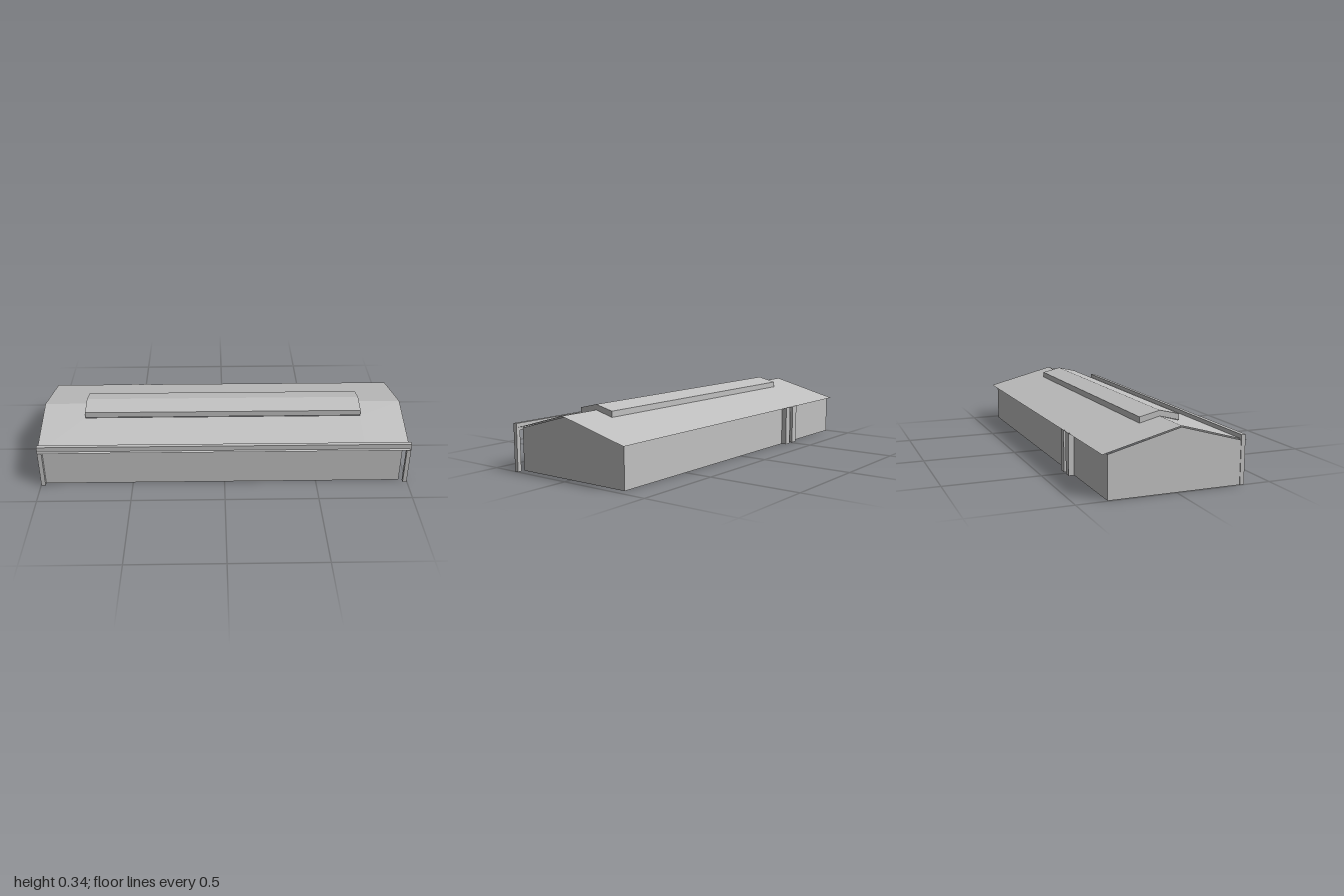
import * as THREE from 'three';

export function createModel() {
  const group = new THREE.Group();
  const grey = new THREE.MeshStandardMaterial({ color: 0xc0c0c0, side: THREE.DoubleSide });
  grey.name = 'light grey';

  const add = (name, geometry) => {
    const mesh = new THREE.Mesh(geometry, grey);
    mesh.name = name;
    group.add(mesh);
    return mesh;
  };

  // box given by its two corners
  const addBox = (name, x0, x1, y0, y1, z0, z1) =>
    add(name, new THREE.BoxGeometry(x1 - x0, y1 - y0, z1 - z0))
      .position.set((x0 + x1) / 2, (y0 + y1) / 2, (z0 + z1) / 2);

  // open surface swept along x: outline points are [z, y], front to back
  const sweep = (outline, xs, skip = () => false) => {
    const pos = [];
    for (let i = 0; i < outline.length - 1; i++) {
      for (let j = 0; j < xs.length - 1; j++) {
        if (skip(i, j)) continue;
        const [[z0, y0], [z1, y1]] = [outline[i], outline[i + 1]];
        const a = [xs[j], y0, z0], b = [xs[j + 1], y0, z0];
        const c = [xs[j + 1], y1, z1], d = [xs[j], y1, z1];
        pos.push(...a, ...b, ...c, ...a, ...c, ...d);
      }
    }
    const g = new THREE.BufferGeometry();
    g.setAttribute('position', new THREE.Float32BufferAttribute(pos, 3));
    g.computeVertexNormals();
    return g;
  };

  // flat end panel in the z-y plane, facing along side (+1 or -1)
  const addEnd = (name, outline, x, side) => {
    const shape = new THREE.Shape(outline.map(([z, y]) => new THREE.Vector2(-side * z, y)));
    const mesh = add(name, new THREE.ShapeGeometry(shape));
    mesh.rotation.y = side * Math.PI / 2;
    mesh.position.x = x;
  };

  // hall walls, open underneath
  const left = 0.957, right = -0.995;
  const front = 0.337, back = -0.345, ridge = 0.02;
  add('frontWall', sweep([[front, 0], [front, 0.221]], [right, left]));
  add('backWall', sweep([[back, 0.215], [back, 0]], [right, left]));
  const gable = [[front, 0], [back, 0], [back, 0.215], [ridge, 0.31], [front, 0.221]];
  addEnd('leftGable', gable, left, 1);
  addEnd('rightGable', gable, right, -1);

  // thin roof sheet with an opening under the ridge lantern
  const roof = [[0.371, 0.217], [0.125, 0.287], [ridge, 0.316], [-0.087, 0.289], [-0.372, 0.216]];
  const lanternX = [-0.763, 0.755];
  add('roof', sweep(roof, [-0.997, ...lanternX, 0.99],
    (i, j) => j === 1 && (i === 1 || i === 2)));

  // ridge lantern: sides, two slopes and chevron ends
  const top = [[0.125, 0.289], [0.125, 0.32], [ridge, 0.345], [-0.087, 0.32], [-0.087, 0.289]];
  add('ridgeLantern', sweep(top, lanternX));
  const chevron = [...top, [ridge, 0.316]];
  addEnd('lanternLeftEnd', chevron, lanternX[1], 1);
  addEnd('lanternRightEnd', chevron, lanternX[0], -1);

  // front gutter beam on a post at each end
  addBox('frontGutter', -0.998, 0.998, 0.212, 0.248, front, 0.359);
  addBox('rightPost', -0.998, -0.975, 0, 0.212, front, 0.359);
  addBox('leftPost', 0.976, 0.998, 0, 0.212, front, 0.359);

  // pair of downpipes on the back wall
  for (const x of [-0.53, -0.457]) {
    addBox('downpipe', x - 0.022, x + 0.022, 0, 0.218, -0.374, back);
  }

  return group;
}
